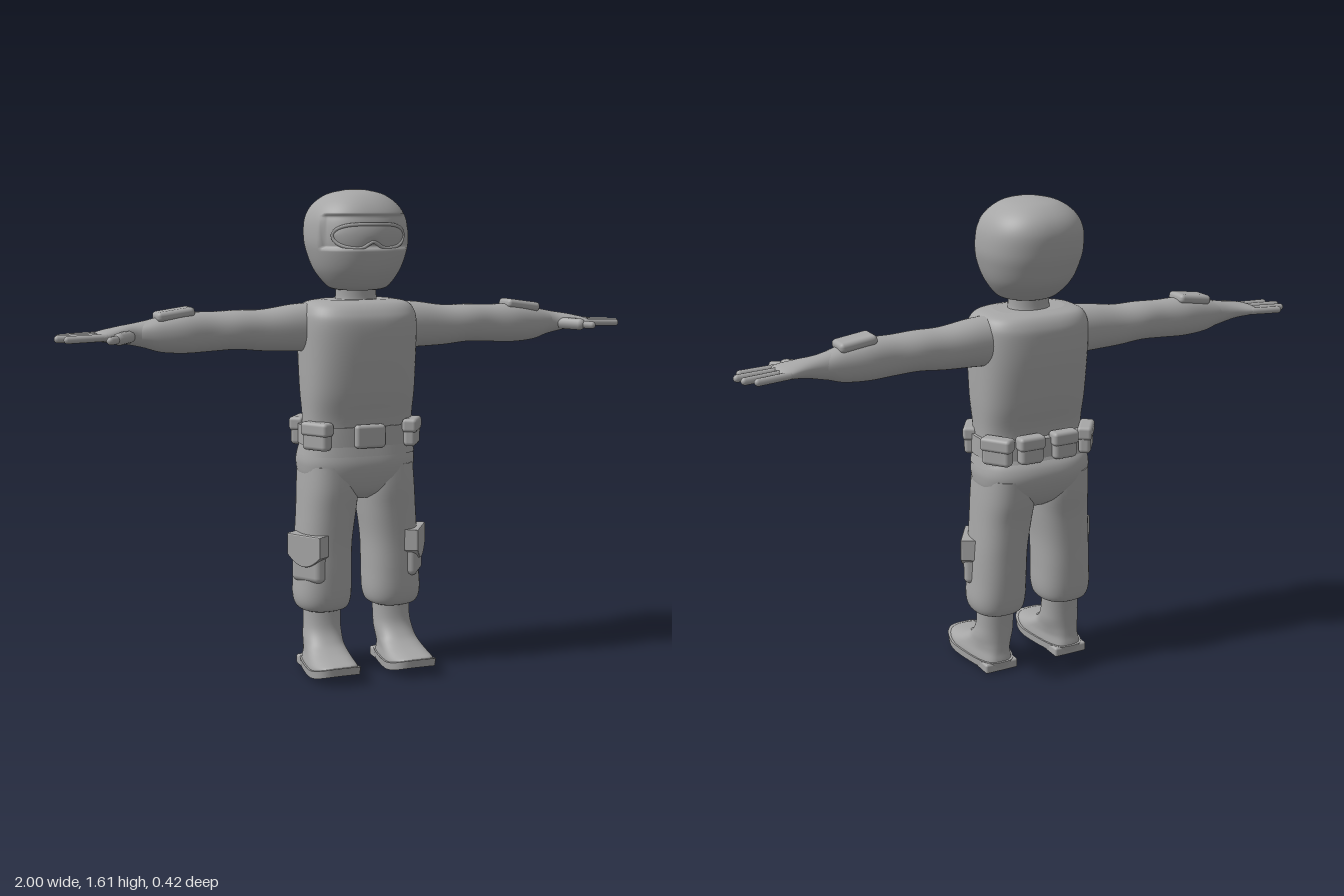
import * as THREE from 'three';
import { RoundedBoxGeometry } from 'three/addons/geometries/RoundedBoxGeometry.js';

const grey = new THREE.MeshStandardMaterial({ color: 0xa6a6a6 });
grey.name = 'grey';

// Catmull-Rom interpolation between section rows
function sample(rows, t) {
  const f = t * (rows.length - 1), i = Math.min(Math.floor(f), rows.length - 2), s = f - i;
  const row = (k) => rows[Math.max(0, Math.min(rows.length - 1, k))];
  return rows[i].map((p1, k) => {
    const p0 = row(i - 1)[k], p2 = row(i + 1)[k], p3 = row(i + 2)[k];
    const m1 = (p2 - p0) / 2, m2 = (p3 - p1) / 2;
    return p1 + s * (m1 + s * (3 * (p2 - p1) - 2 * m1 - m2 + s * (2 * (p1 - p2) + m1 + m2)));
  });
}

// Smooth body through superellipse sections [y, cx, cz, rx, rz, power], with flat caps
function loft(rows, steps = 24, seg = 40) {
  const pos = [], idx = [];
  const ring = (t) => {
    const [y, cx, cz, rx, rz, n] = sample(rows, t);
    for (let j = 0; j < seg; j++) {
      const a = (j / seg) * Math.PI * 2, c = Math.cos(a), s = Math.sin(a);
      pos.push(cx + rx * Math.sign(c) * Math.abs(c) ** (2 / n), y, cz + rz * Math.sign(s) * Math.abs(s) ** (2 / n));
    }
    return [y, cx, cz];
  };
  for (let i = 0; i <= steps; i++) ring(i / steps);
  for (let i = 0; i < steps; i++) for (let j = 0; j < seg; j++) {
    const a = i * seg + j, b = i * seg + (j + 1) % seg;
    idx.push(a, a + seg, b, b, a + seg, b + seg);
  }
  for (const end of [0, 1]) {
    const base = pos.length / 3, [y, cx, cz] = ring(end);
    pos.push(cx, y, cz);
    for (let j = 0; j < seg; j++) {
      const p = base + j, q = base + (j + 1) % seg;
      idx.push(base + seg, end ? q : p, end ? p : q);
    }
  }
  const g = new THREE.BufferGeometry();
  g.setAttribute('position', new THREE.Float32BufferAttribute(pos, 3));
  g.setIndex(idx);
  g.computeVertexNormals();
  return g;
}

function moveVertices(g, rule) {
  const p = g.attributes.position, v = new THREE.Vector3();
  for (let i = 0; i < p.count; i++) {
    rule(v.fromBufferAttribute(p, i));
    p.setXYZ(i, v.x, v.y, v.z);
  }
  g.computeVertexNormals();
  return g;
}

// Copy across x = 0 with the triangle order reversed
function mirrored(g) {
  const m = g.clone().scale(-1, 1, 1);
  const n = m.index ? m.index.count : m.attributes.position.count, idx = [];
  const at = (i) => (m.index ? m.index.getX(i) : i);
  for (let i = 0; i < n; i += 3) idx.push(at(i), at(i + 2), at(i + 1));
  m.setIndex(idx);
  return m;
}

export function createModel() {
  const model = new THREE.Group();
  const add = (name, g) => {
    const mesh = new THREE.Mesh(g, grey);
    mesh.name = name;
    model.add(mesh);
  };
  const pair = (name, g) => {
    add(name + 'Left', g);
    add(name + 'Right', mirrored(g));
  };
  const box = (w, h, d, r) => new RoundedBoxGeometry(w, h, d, 3, r);
  const step = THREE.MathUtils.smoothstep;

  // Helmeted head with a recessed face opening
  const head = loft([
    [1.278, 0, -0.02, 0.07, 0.07, 2], [1.29, 0, -0.02, 0.1, 0.1, 2.1], [1.34, 0, -0.028, 0.138, 0.142, 2.2],
    [1.4, 0, -0.032, 0.16, 0.163, 2.3], [1.45, 0, -0.037, 0.168, 0.17, 2.3], [1.51, 0, -0.043, 0.162, 0.166, 2.3],
    [1.555, 0, -0.046, 0.138, 0.143, 2.2], [1.588, 0, -0.045, 0.093, 0.1, 2.1], [1.602, 0, -0.042, 0.04, 0.045, 2],
    [1.605, 0, -0.042, 0.004, 0.004, 2],
  ], 90, 96);
  add('helmet', moveVertices(head, (v) => {
    const a = Math.abs(Math.atan2(v.x, v.z + 0.04));
    const open = step(v.y, 1.412, 1.42) * (1 - step(v.y, 1.518, 1.526)) * (1 - step(a, 1.02, 1.08));
    v.x *= 1 - 0.07 * open;
    v.z -= (v.z + 0.04) * 0.07 * open;
  }));

  // Goggles: curved lens with a rounded frame and nose notch
  const gogglePoint = (u, w, out = 0) => {
    const x = u * 0.122, e = Math.sqrt(Math.max(0, 1 - u ** 4));
    const low = 0.042 - 0.022 * Math.exp(-((x / 0.025) ** 2));
    const y = 1.457 + (w > 0 ? 0.036 : low) * e * w;
    return new THREE.Vector3(x, y, -0.04 + (0.165 + out) * Math.sqrt(1 - (x / 0.17) ** 2));
  };
  add('goggleLens', moveVertices(new THREE.PlaneGeometry(2, 2, 40, 12), (v) => {
    v.copy(gogglePoint(v.x, v.y, 0.006 * (1 - v.y * v.y)));
  }));
  const rim = [];
  for (let i = 0; i < 48; i++) {
    const a = (i / 48) * Math.PI * 2;
    rim.push(gogglePoint(Math.cos(a), Math.sin(a) >= 0 ? 1 : -1));
  }
  add('goggleFrame', new THREE.TubeGeometry(new THREE.CatmullRomCurve3(rim, true), 120, 0.006, 8, true));

  // Neck and torso
  add('neck', loft([[1.22, 0, -0.035, 0.085, 0.07, 2], [1.25, 0, -0.035, 0.07, 0.06, 2], [1.31, 0, -0.035, 0.07, 0.06, 2]]));
  add('torso', loft([
    [0.75, 0, -0.03, 0.184, 0.108, 2.8], [0.85, 0, -0.025, 0.184, 0.11, 2.8], [0.95, 0, -0.025, 0.19, 0.132, 2.8],
    [1.08, 0, -0.027, 0.193, 0.15, 2.8], [1.17, 0, -0.027, 0.194, 0.153, 2.8], [1.21, 0, -0.03, 0.188, 0.143, 2.8],
    [1.237, 0, -0.033, 0.167, 0.118, 2.8], [1.247, 0, -0.035, 0.12, 0.08, 2.5],
  ], 42, 56));

  // Belt, buckle and pouches
  add('belt', loft([[0.768, 0, -0.035, 0.194, 0.125, 2.7], [0.833, 0, -0.035, 0.194, 0.125, 2.7]], 2, 56));
  add('buckle', box(0.105, 0.078, 0.03, 0.012).translate(0, 0.803, 0.095));
  const pouch = (name, x, z, angle, w) => {
    const place = (g) => g.rotateY(angle).translate(x, 0.803, z);
    pair(name, place(box(w, 0.088, 0.042, 0.014)));
    pair(name + 'Flap', place(box(w + 0.008, 0.046, 0.05, 0.012).translate(0, 0.026, 0)));
  };
  pouch('frontPouch', 0.168, 0.05, 1.0, 0.1);
  pouch('sidePouch', 0.165, -0.13, 2.2, 0.1);
  pouch('backPouch', 0.062, -0.163, Math.PI, 0.085);

  // Trousers
  add('jacketHem', loft([[0.735, 0, -0.04, 0.198, 0.132, 2.7], [0.77, 0, -0.035, 0.191, 0.122, 2.7]], 3, 56));
  add('hips', loft([
    [0.585, 0, -0.04, 0.06, 0.07, 2.3], [0.61, 0, -0.04, 0.13, 0.105, 2.4], [0.65, 0, -0.043, 0.185, 0.127, 2.6],
    [0.7, 0, -0.045, 0.199, 0.139, 2.6], [0.74, 0, -0.043, 0.196, 0.133, 2.6], [0.77, 0, -0.035, 0.188, 0.115, 2.6],
  ], 30, 56));
  pair('trouserLeg', loft([
    [0.207, 0.125, -0.032, 0.066, 0.07, 2.4], [0.22, 0.125, -0.032, 0.086, 0.09, 2.4], [0.26, 0.125, -0.032, 0.096, 0.1, 2.4],
    [0.34, 0.122, -0.034, 0.094, 0.104, 2.4], [0.44, 0.118, -0.036, 0.093, 0.106, 2.4], [0.54, 0.108, -0.037, 0.096, 0.112, 2.4],
    [0.62, 0.101, -0.041, 0.098, 0.122, 2.4], [0.7, 0.098, -0.045, 0.095, 0.125, 2.4],
  ], 40));

  // Leg pockets, wrapping the outer front of each leg
  const onLeg = (g) => g.rotateY(1.0).translate(0.186, 0.39, 0.018);
  pair('legPocket', onLeg(box(0.125, 0.155, 0.05, 0.02)));
  const flap = new THREE.Shape();
  flap.moveTo(-0.066, 0.08).lineTo(0.066, 0.08).lineTo(0.066, 0.015);
  flap.quadraticCurveTo(0.03, -0.02, 0, -0.02).quadraticCurveTo(-0.03, -0.02, -0.066, 0.015);
  pair('legPocketFlap', onLeg(new THREE.ExtrudeGeometry(flap, {
    depth: 0.044, bevelSize: 0.004, bevelThickness: 0.006, bevelSegments: 2,
  }).translate(0, 0, -0.018)));

  // Boots: upper, upturned sole and heel block, narrower to the back
  const footShape = (v) => {
    const foot = 1 - step(v.y, 0.06, 0.14);
    v.x = 0.135 + (v.x - 0.135) * (1 - foot * 0.24 * (1 - step(v.z, -0.1, 0.13)));
    v.y += foot * 1.6 * Math.max(0, v.z - 0.08) ** 2;
  };
  pair('boot', moveVertices(loft([
    [0.025, 0.135, 0.05, 0.08, 0.147, 3.4], [0.042, 0.135, 0.05, 0.079, 0.144, 3.2], [0.06, 0.134, 0.032, 0.076, 0.122, 2.9],
    [0.08, 0.132, 0.008, 0.073, 0.096, 2.6], [0.105, 0.13, -0.012, 0.069, 0.075, 2.3], [0.15, 0.127, -0.027, 0.063, 0.06, 2.2],
    [0.23, 0.125, -0.034, 0.064, 0.056, 2.2],
  ], 36, 48), footShape));
  pair('sole', moveVertices(loft([[0.01, 0.135, 0.052, 0.084, 0.15, 3.4], [0.035, 0.135, 0.052, 0.086, 0.155, 3.4]], 3, 48), footShape));
  pair('heel', box(0.122, 0.034, 0.1, 0.008).translate(0.135, 0.017, -0.048));

  // Arms: lofted upright, then laid along x
  const sideways = (rows, steps) => loft(rows.map(([x, y, z, ry, rz]) => [x, -y, z, ry, rz, 2.2]), steps).rotateZ(-Math.PI / 2);
  pair('sleeve', sideways([
    [0.13, 1.156, -0.05, 0.082, 0.075], [0.22, 1.155, -0.05, 0.077, 0.072], [0.32, 1.15, -0.05, 0.068, 0.067],
    [0.41, 1.154, -0.051, 0.064, 0.067], [0.49, 1.151, -0.052, 0.064, 0.06], [0.58, 1.149, -0.053, 0.066, 0.062],
    [0.66, 1.146, -0.055, 0.057, 0.053], [0.71, 1.147, -0.058, 0.043, 0.044], [0.74, 1.148, -0.06, 0.034, 0.036],
  ], 44));
  pair('forearmPad', box(0.125, 0.032, 0.085, 0.014).rotateZ(-0.14).translate(0.615, 1.21, -0.055));
  pair('glove', sideways([
    [0.7, 1.147, -0.058, 0.046, 0.043], [0.745, 1.148, -0.06, 0.036, 0.04], [0.79, 1.149, -0.055, 0.028, 0.049],
    [0.835, 1.147, -0.052, 0.021, 0.061], [0.86, 1.146, -0.052, 0.015, 0.062], [0.87, 1.146, -0.052, 0.008, 0.055],
  ], 24));

  // Fingers and thumb
  const digit = (name, from, to, r) => {
    const a = new THREE.Vector3(...from), d = new THREE.Vector3(...to).sub(a), len = d.length();
    const turn = new THREE.Quaternion().setFromUnitVectors(new THREE.Vector3(0, 1, 0), d.normalize());
    const g = new THREE.CapsuleGeometry(r, len, 5, 12).translate(0, len / 2, 0);
    pair(name, g.applyQuaternion(turn).translate(a.x, a.y, a.z));
  };
  [[0.947, -0.113], [0.978, -0.084], [0.988, -0.044], [0.965, -0.002]].forEach(([x, z], i) => {
    digit('finger' + (i + 1), [0.845, 1.146, -0.103 + i * 0.034], [x, 1.142, z], 0.012);
  });
  digit('thumbBase', [0.765, 1.144, -0.03], [0.81, 1.142, 0.025], 0.02);
  digit('thumbTip', [0.805, 1.142, 0.022], [0.842, 1.14, 0.053], 0.013);
  return model;
}
